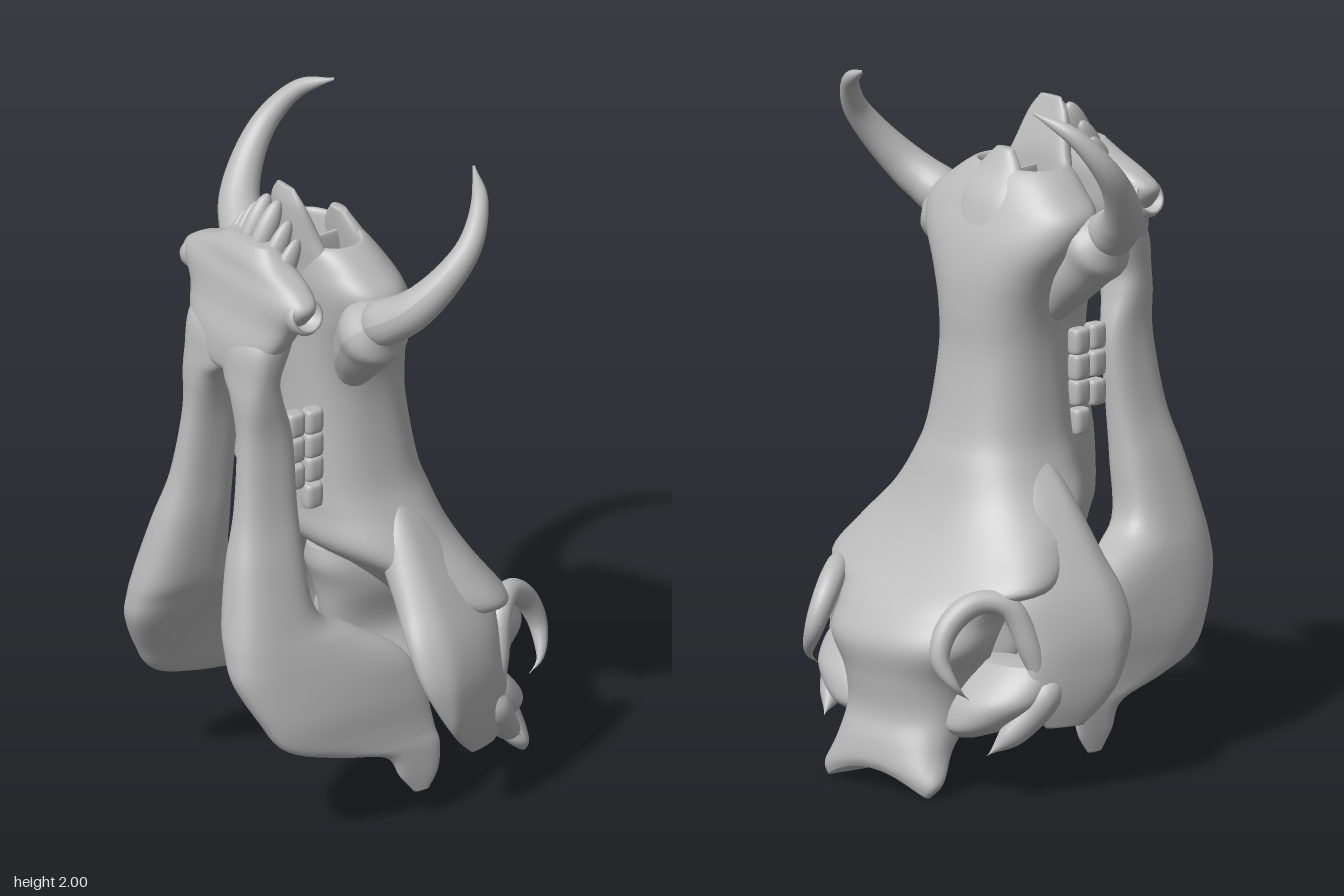
import * as THREE from 'three';

const bone = new THREE.MeshStandardMaterial({ color: 0xbababa });
bone.name = 'bone';

const clamp01 = v => Math.max(0, Math.min(1, v));

// Smooth interpolation through rows of numbers, t in 0..1
function sample(rows, t) {
  const f = t * (rows.length - 1), i = Math.min(Math.floor(f), rows.length - 2), u = f - i;
  const at = k => rows[Math.max(0, Math.min(rows.length - 1, k))];
  const [a, b, c, d] = [at(i - 1), at(i), at(i + 1), at(i + 2)];
  return b.map((_, k) => b[k] + 0.5 * u * (c[k] - a[k] + u * (2 * a[k] - 5 * b[k] + 4 * c[k] - d[k]
    + u * (3 * (b[k] - c[k]) + d[k] - a[k]))));
}

// Closed skin over horizontal sections [y, xMin, xMax, zMin, zMax], lowest first
function loft(rows, power = 2.4, warp = null, sides = 40) {
  const steps = (rows.length - 1) * 6, pos = [], index = [];
  const round = v => Math.sign(v) * Math.abs(v) ** (2 / power);
  for (let i = 0; i <= steps; i++) {
    const [y, x0, x1, z0, z1] = sample(rows, i / steps);
    for (let j = 0; j < sides; j++) {
      const a = (j / sides) * Math.PI * 2;
      pos.push((x0 + x1) / 2 + (x1 - x0) / 2 * round(Math.cos(a)), y,
        (z0 + z1) / 2 + (z1 - z0) / 2 * round(Math.sin(a)));
    }
  }
  for (const r of [rows[0], rows[rows.length - 1]]) pos.push((r[1] + r[2]) / 2, r[0], (r[3] + r[4]) / 2);
  const low = (steps + 1) * sides, high = low + 1;
  for (let j = 0; j < sides; j++) {
    const k = (j + 1) % sides, top = steps * sides;
    for (let i = 0; i < steps; i++) {
      const a = i * sides + j, b = i * sides + k;
      index.push(a, a + sides, b, b, a + sides, b + sides);
    }
    index.push(low, j, k, high, top + k, top + j);
  }
  if (warp) for (let i = 0; i < pos.length; i += 3) {
    const p = warp(pos[i], pos[i + 1], pos[i + 2]);
    for (let k = 0; k < 3; k++) pos[i + k] = p[k];
  }
  const g = new THREE.BufferGeometry();
  g.setAttribute('position', new THREE.Float32BufferAttribute(pos, 3));
  g.setIndex(index);
  g.computeVertexNormals();
  return g;
}

// Tube whose radius follows a list
function horn(points, radii, sides = 20) {
  const n = 48, curve = new THREE.CatmullRomCurve3(points.map(p => new THREE.Vector3(...p)));
  const g = new THREE.TubeGeometry(curve, n, 1, sides), p = g.attributes.position;
  const v = new THREE.Vector3(), c = new THREE.Vector3(), rows = radii.map(r => [r]);
  for (let i = 0; i <= n; i++) {
    curve.getPointAt(i / n, c);
    const r = Math.max(0.001, sample(rows, i / n)[0]);
    for (let j = 0; j <= sides; j++) {
      const k = i * (sides + 1) + j;
      v.fromBufferAttribute(p, k).sub(c).multiplyScalar(r).add(c);
      p.setXYZ(k, v.x, v.y, v.z);
    }
  }
  g.computeVertexNormals();
  return g;
}

const sym = rows => rows.map(([y, w, z0, z1]) => [y, -w, w, z0, z1]);
const mirrorRows = (rows, s) => s > 0 ? rows : rows.map(([y, a, b, c, d]) => [y, -b, -a, c, d]);

export function createModel() {
  const skull = new THREE.Group();
  skull.name = 'skull';
  const add = (name, geometry) => {
    const m = new THREE.Mesh(geometry, bone);
    m.name = name;
    skull.add(m);
    return m;
  };

  // Crest, brow, cheek roots and long face, flared at the tusks and ending in a hollow nose
  add('cranium', loft(sym([
    [0, 0.2, -0.54, -0.47], [0.04, 0.225, -0.55, -0.42], [0.12, 0.2, -0.54, -0.34],
    [0.22, 0.2, -0.515, -0.24], [0.32, 0.215, -0.525, -0.2], [0.42, 0.265, -0.54, -0.2],
    [0.5, 0.275, -0.5, -0.15], [0.55, 0.31, -0.455, -0.12], [0.6, 0.405, -0.405, -0.09], [0.7, 0.36, -0.335, 0.02],
    [0.8, 0.29, -0.285, 0.15], [0.9, 0.232, -0.248, 0.165], [1, 0.197, -0.215, 0.165], [1.2, 0.173, -0.182, 0.16],
    [1.33, 0.178, -0.178, 0.162], [1.44, 0.215, -0.17, 0.165], [1.54, 0.275, -0.145, 0.17],
    [1.62, 0.29, -0.11, 0.175], [1.68, 0.23, -0.08, 0.175], [1.73, 0.165, -0.045, 0.17],
    [1.735, 0.14, -0.02, 0.145], [1.68, 0.125, -0.01, 0.13], [1.54, 0.08, 0.0, 0.11],
  ]), 2.4, (x, y, z) => {
    const k = Math.max(0, 1 - y / 0.2);
    return [x, y + 0.06 * k * Math.max(0, 1 - (x / 0.2) ** 2), z];
  }, 56));

  // Nose: lower lip of bone, pointed roof and thin wall between the nostrils
  add('premaxilla', loft(sym([
    [1.55, 0.15, 0.1, 0.17], [1.68, 0.14, 0.12, 0.185], [1.77, 0.105, 0.13, 0.2],
    [1.86, 0.075, 0.16, 0.205], [1.91, 0.04, 0.178, 0.195],
  ]), 2.4, (x, y, z) => [x, y, z - 1.5 * x * x]));
  add('nasalTip', loft(sym([
    [1.5, 0.12, -0.15, -0.02], [1.65, 0.11, -0.105, 0.0], [1.73, 0.08, -0.05, 0.01], [1.79, 0.03, -0.015, 0.015],
  ])));
  add('septum', loft(sym([[1.5, 0.012, -0.06, 0.15], [1.68, 0.01, -0.04, 0.15], [1.72, 0.006, -0.02, 0.14]])));

  // Underside of the braincase, narrow between the cheek arches
  add('basicranium', loft(sym([
    [0.19, 0.07, -0.3, -0.1], [0.25, 0.12, -0.32, -0.05], [0.34, 0.15, -0.34, 0],
    [0.46, 0.085, -0.32, 0.04], [0.6, 0.1, -0.25, 0.07], [0.68, 0.09, -0.15, 0.1], [0.74, 0.06, -0.1, 0.1],
  ])));

  // Six blunt lower front teeth, leaning back
  for (const [x, top, r] of [[0.026, 1.885, 0.029], [0.078, 1.84, 0.024], [0.122, 1.8, 0.021]]) {
    for (const s of [-1, 1]) {
      const tooth = add('incisor', new THREE.SphereGeometry(1, 16, 14));
      tooth.scale.set(r, 0.1, 0.034);
      tooth.position.set(s * x, top - 0.088, 0.275);
      tooth.rotation.x = -0.5;
    }
  }

  // Front of the lower jaw, flaring to its two upper corners
  add('chin', loft(sym([
    [1.39, 0.05, 0.33, 0.41], [1.42, 0.14, 0.31, 0.428], [1.5, 0.2, 0.27, 0.424], [1.58, 0.24, 0.24, 0.4],
    [1.655, 0.295, 0.235, 0.385], [1.7, 0.25, 0.235, 0.37], [1.74, 0.155, 0.245, 0.36], [1.78, 0.09, 0.265, 0.335],
  ]), 2.6));

  for (const s of [-1, 1]) {
    const P = pts => pts.map(([x, y, z]) => [s * x, y, z]);
    const side = (name, rows, power, warp) => add(name, loft(mirrorRows(rows, s), power, warp));

    // Curved upper tusk in its flared socket
    add('tusk', horn(P([[0.24, 1.53, 0.085], [0.33, 1.575, 0.085], [0.43, 1.645, 0.045], [0.49, 1.745, -0.03],
      [0.502, 1.84, -0.105], [0.45, 1.935, -0.175], [0.345, 1.992, -0.228]]),
      [0, 0.066, 0.064, 0.055, 0.046, 0.038, 0.03, 0.021, 0.004]));
    add('tuskSocket', horn(P([[0.08, 1.27, 0.03], [0.19, 1.42, 0.06], [0.28, 1.525, 0.08], [0.35, 1.588, 0.085]]),
      [0, 0.05, 0.07, 0.085, 0.094, 0.102, 0.06]));

    // Thin cheek arch bending inward to the rear
    side('cheekArch', [
      [0.2, 0.475, 0.5, -0.25, -0.14], [0.27, 0.465, 0.515, -0.3, -0.07], [0.36, 0.455, 0.52, -0.3, -0.01],
      [0.46, 0.42, 0.513, -0.29, 0.035], [0.56, 0.35, 0.48, -0.31, 0.045], [0.66, 0.26, 0.42, -0.29, 0.03],
      [0.76, 0.18, 0.35, -0.23, 0.02], [0.86, 0.14, 0.275, -0.17, 0.0], [0.97, 0.1, 0.18, -0.13, -0.04],
    ], 2.4, (x, y, z) => [x - s * 0.35 * Math.max(0, -z - 0.05), y, z]);
    // Plate joining the arch to the braincase, and its rear spike
    side('squamosal', [
      [0.165, 0.18, 0.25, -0.4, -0.32], [0.19, 0.12, 0.32, -0.43, -0.24], [0.23, 0.1, 0.38, -0.43, -0.19],
      [0.28, 0.1, 0.425, -0.41, -0.17], [0.34, 0.12, 0.43, -0.36, -0.17], [0.38, 0.18, 0.4, -0.32, -0.2],
    ], 2);
    add('archSpike', horn(P([[0.43, 0.38, -0.2], [0.41, 0.28, -0.26], [0.37, 0.2, -0.32], [0.33, 0.13, -0.4]]),
      [0, 0.045, 0.045, 0.035, 0]));

    // Raised ring around the eye hole, with a hooked end
    add('eyeRim', horn(P([[0.305, 0.3, -0.45], [0.3, 0.335, -0.49], [0.255, 0.42, -0.515], [0.25, 0.51, -0.475],
      [0.285, 0.57, -0.395], [0.34, 0.555, -0.325], [0.385, 0.43, -0.28], [0.41, 0.33, -0.265]]),
      [0, 0.02, 0.032, 0.036, 0.034, 0.035, 0.035, 0.02]));
    add('skullBaseKnob', new THREE.SphereGeometry(0.05, 20, 14)).position.set(s * 0.075, 0.24, -0.07);
    add('pterygoidKnob', new THREE.SphereGeometry(0.035, 18, 12)).position.set(s * 0.155, 0.33, -0.06);

    // Jaw branch widening down to its angle, thinning back to the hinge knob
    side('jawBranch', [
      [0.085, 0.365, 0.4, -0.045, 0.005], [0.14, 0.345, 0.405, -0.08, 0.05], [0.215, 0.315, 0.4, -0.09, 0.1],
      [0.26, 0.29, 0.39, -0.08, 0.28], [0.31, 0.27, 0.385, -0.07, 0.42], [0.4, 0.235, 0.38, -0.05, 0.485],
      [0.52, 0.18, 0.355, 0.01, 0.545], [0.6, 0.15, 0.335, 0.13, 0.55], [0.68, 0.125, 0.31, 0.25, 0.54],
      [0.85, 0.105, 0.26, 0.27, 0.505], [1, 0.1, 0.215, 0.27, 0.465], [1.2, 0.085, 0.185, 0.268, 0.44],
      [1.33, 0.05, 0.187, 0.3, 0.44], [1.4, 0.0, 0.19, 0.305, 0.435], [1.5, -0.02, 0.2, 0.27, 0.42],
      [1.58, 0, 0.2, 0.26, 0.36],
    ], 2.6, (x, y, z) => {
      const k = 0.55 * clamp01((0.4 - z) / 0.4) * clamp01((0.64 - y) / 0.15);
      return [x + (s * 0.38 - x) * k, y, z];
    });

    // Empty lower tusk socket: a rolled lip around a hollow
    const lip = [[0.02, -0.07], [0.05, -0.06], [0.058, 0], [0.052, 0.016], [0.044, 0.014], [0.035, -0.02], [0, -0.03]];
    const socket = add('lowerTuskSocket', new THREE.LatheGeometry(lip.map(p => new THREE.Vector2(...p)), 28));
    socket.position.set(s * 0.265, 1.635, 0.305);
    socket.rotation.z = -s * 1.2;

    // Cheek teeth, upper and lower rows
    for (const [y, z] of [[1.21, 0.178], [1.135, 0.178], [1.06, 0.178], [0.975, 0.18], [1.215, 0.242], [1.135, 0.242], [1.05, 0.242]]) {
      side('cheekTooth', [
        [y - 0.038, 0.105, 0.13, z - 0.02, z + 0.018], [y - 0.028, 0.095, 0.145, z - 0.03, z + 0.028],
        [y + 0.028, 0.095, 0.145, z - 0.03, z + 0.028], [y + 0.038, 0.105, 0.13, z - 0.02, z + 0.018],
      ], 3);
    }
  }
  return skull;
}
